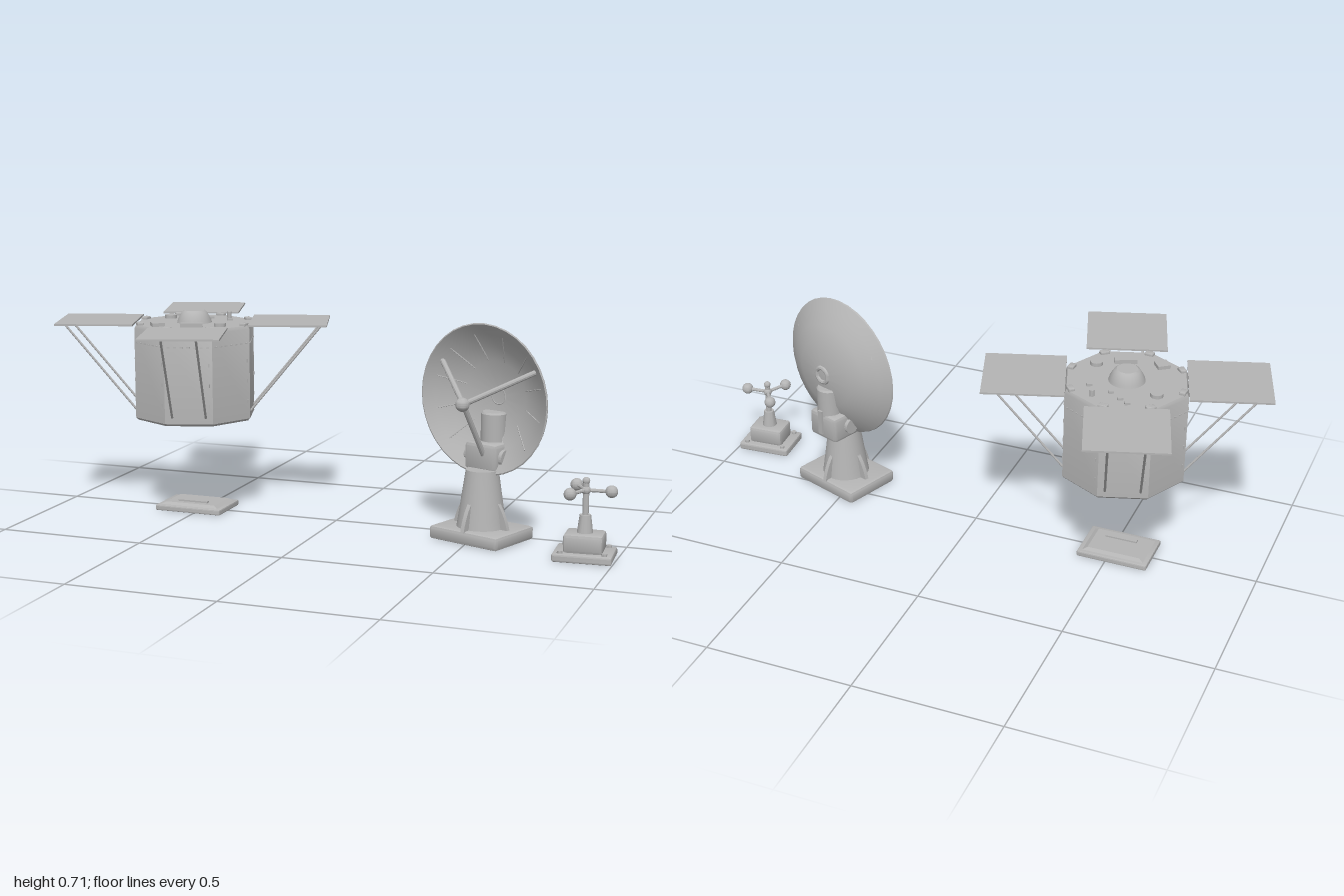
import * as THREE from 'three';
import { toCreasedNormals } from 'three/addons/utils/BufferGeometryUtils.js';
import { RoundedBoxGeometry } from 'three/addons/geometries/RoundedBoxGeometry.js';

const grey = new THREE.MeshStandardMaterial({ color: 0xb4b4b4 });
grey.name = 'grey';

function add(parent, name, geo, x = 0, y = 0, z = 0, ry = 0) {
  const m = new THREE.Mesh(toCreasedNormals(geo, 0.5), grey);
  m.name = name;
  m.position.set(x, y, z);
  m.rotation.y = ry;
  parent.add(m);
  return m;
}
function group(parent, name, x = 0, y = 0, z = 0, ry = 0) {
  const g = new THREE.Group();
  g.name = name;
  g.position.set(x, y, z);
  g.rotation.y = ry;
  parent.add(g);
  return g;
}
const box = (w, h, d) => new THREE.BoxGeometry(w, h, d);
const chamfer = (w, h, d, r) => new RoundedBoxGeometry(w, h, d, 1, r);
const cyl = (top, bottom, h, n = 20) => new THREE.CylinderGeometry(top, bottom, h, n);
const ball = (r) => new THREE.SphereGeometry(r, 18, 12);
const lathe = (pts, n) => new THREE.LatheGeometry(pts.map(p => new THREE.Vector2(...p)), n);

// Round rod between two points
function rod(parent, name, a, b, r, n = 8) {
  const p = new THREE.Vector3(...a), q = new THREE.Vector3(...b);
  const m = add(parent, name, cyl(r, r, p.distanceTo(q), n));
  m.position.copy(p).add(q).multiplyScalar(0.5);
  m.quaternion.setFromUnitVectors(new THREE.Vector3(0, 1, 0), q.sub(p).normalize());
  return m;
}

function buildSatellite(root) {
  const sat = group(root, 'satellite', -0.522, 0, 0, Math.PI / 10);

  // Eight-sided body with softened ends, faces on the group's axes
  const body = lathe([[0, 0.33], [0.205, 0.33], [0.213, 0.338], [0.213, 0.648], [0.207, 0.659], [0, 0.659]], 8);
  add(sat, 'body', body.rotateY(Math.PI / 8));

  for (let i = 0; i < 8; i++) {
    const side = group(sat, 'bodySide', 0, 0, 0, i * Math.PI / 4);
    // Row of small rivets and a clip on the upper rim
    for (let k = -3; k <= 3; k++) {
      add(side, 'rivet', box(0.01, 0.004, 0.004), k * 0.022, 0.6, 0.197);
    }
    for (const y of [0.4, 0.47, 0.54]) add(side, 'seamRivet', box(0.004, 0.012, 0.004), 0.07, y, 0.197);
    const corner = group(sat, 'corner', 0, 0, 0, (i + 0.5) * Math.PI / 4);
    add(corner, 'rimClip', chamfer(0.032, 0.014, 0.022, 0.004), 0, 0.661, 0.193);
  }

  // Four thin panels, each on a pair of struts
  for (let i = 0; i < 4; i++) {
    const arm = group(sat, 'panelArm', 0, 0, 0, i * Math.PI / 2);
    add(arm, 'panel', box(0.267, 0.006, 0.267), 0, 0.665, 0.329);
    for (const x of [-0.057, 0.057]) {
      rod(arm, 'strut', [x, 0.663, 0.445], [x, 0.36, 0.196], 0.004);
    }
  }

  // Deck equipment
  const deck = group(root, 'deck', -0.522, 0.659, 0);
  add(deck, 'dome', lathe([[0.06, 0], [0.058, 0.008], [0.05, 0.024], [0.042, 0.037], [0.034, 0.042], [0, 0.042]], 24));
  add(deck, 'roundCap', cyl(0.021, 0.021, 0.012), -0.12, 0.006, -0.065);
  add(deck, 'roundCap', cyl(0.021, 0.021, 0.012), 0.125, 0.006, 0.065);
  add(deck, 'longBox', box(0.075, 0.014, 0.03), 0.042, 0.007, 0.115, 0.4);
  add(deck, 'squareBox', box(0.042, 0.012, 0.042), -0.078, 0.006, 0.13, 0.65);
  add(deck, 'sensorPost', cyl(0.008, 0.008, 0.022, 10), 0.07, 0.011, -0.14);
  for (const [x, z] of [[-0.02, -0.13], [0.02, -0.1], [-0.05, -0.15], [0.1, -0.08]]) {
    add(deck, 'deckStud', box(0.018, 0.008, 0.012), x, 0.004, z, 0.5);
  }
}

function buildPlate(root) {
  const plate = group(root, 'groundPlate', -0.522, 0, 0);
  add(plate, 'plateBase', chamfer(0.245, 0.02, 0.17, 0.005), 0, 0.01, 0);
  // Sloped upper step
  const step = cyl(Math.SQRT1_2 * 0.85, Math.SQRT1_2, 0.009, 4).rotateY(Math.PI / 4);
  add(plate, 'plateStep', step.scale(0.215, 1, 0.14), 0, 0.024, 0);
  add(plate, 'plateBar', box(0.11, 0.006, 0.016), 0, 0.031, 0.03);
}

function buildDish(root) {
  const g = group(root, 'dishAntenna', 0.53, 0, 0.06, -0.35);

  // Base, tower and gussets
  add(g, 'base', chamfer(0.27, 0.045, 0.215, 0.01), 0, 0.0225, 0);
  add(g, 'tower', lathe([[0, 0.04], [0.083, 0.04], [0.078, 0.07], [0.054, 0.235], [0, 0.235]], 24));
  const fin = new THREE.Shape();
  fin.moveTo(0.05, 0.04);
  fin.lineTo(0.108, 0.04);
  fin.quadraticCurveTo(0.095, 0.1, 0.06, 0.14);
  fin.lineTo(0.05, 0.14);
  const finGeo = new THREE.ExtrudeGeometry(fin, { depth: 0.014, bevelEnabled: false, curveSegments: 5 }).translate(0, 0, -0.007);
  for (let i = 0; i < 4; i++) add(g, 'gusset', finGeo, 0, 0, 0, i * Math.PI / 2);

  // Tilt housing, pivots and rear mast
  add(g, 'housing', chamfer(0.125, 0.095, 0.115, 0.012), -0.01, 0.272, -0.055);
  add(g, 'pivot', cyl(0.028, 0.028, 0.15, 24).rotateZ(Math.PI / 2), -0.01, 0.272, -0.04);
  add(g, 'mast', lathe([[0, 0.29], [0.043, 0.29], [0.043, 0.41], [0.038, 0.416], [0, 0.416]], 20), -0.006, 0, -0.07);
  add(g, 'mastRib', box(0.018, 0.09, 0.02), -0.006, 0.29, -0.11);

  // Bowl: thin shell opening toward local +z
  const bowl = group(g, 'bowl', 0, 0.465, 0);
  const profile = [[0, -0.092], [0.035, -0.092], [0.12, -0.078], [0.17, -0.056], [0.215, -0.028],
    [0.248, -0.003], [0.25, 0.002], [0.246, 0.004], [0.213, -0.021], [0.168, -0.049], [0.118, -0.071],
    [0.035, -0.085], [0, -0.085]];
  add(bowl, 'reflector', lathe(profile, 36).rotateX(Math.PI / 2));
  add(bowl, 'hubRing', new THREE.TorusGeometry(0.027, 0.008, 8, 24), 0, 0, -0.092);
  for (let i = 0; i < 12; i++) {
    const a = (i + 0.5) * Math.PI / 6, c = Math.cos(a), s = Math.sin(a);
    rod(bowl, 'radialSeam', [0.12 * c, 0.12 * s, -0.071], [0.213 * c, 0.213 * s, -0.021], 0.002, 5);
  }

  // Tripod and feed
  add(bowl, 'feed', ball(0.023), 0, 0, 0.115);
  for (const deg of [30, 150, 270]) {
    const a = deg * Math.PI / 180;
    rod(bowl, 'feedStrut', [0, 0, 0.11], [0.215 * Math.cos(a), 0.215 * Math.sin(a), -0.025], 0.009, 10);
  }
}

function buildWeatherStation(root) {
  const g = group(root, 'weatherStation', 0.9, 0, 0.178, 0.07);
  add(g, 'base', chamfer(0.19, 0.027, 0.145, 0.007), 0, 0.0135, 0);
  add(g, 'body', chamfer(0.125, 0.062, 0.098, 0.01), 0, 0.055, 0);
  for (const x of [-0.07, 0.07]) for (const z of [-0.055, 0.055]) {
    add(g, 'footBolt', cyl(0.009, 0.009, 0.012, 8), x, 0.029, z);
  }
  add(g, 'collar', cyl(0.018, 0.026, 0.06), 0, 0.113, 0);
  add(g, 'pole', cyl(0.01, 0.01, 0.12, 14), 0, 0.19, 0);
  add(g, 'hub', ball(0.015), 0, 0.222, 0);
  add(g, 'topKnob', ball(0.012), 0, 0.252, 0);
  // Three arms with round cups
  for (let i = 0; i < 3; i++) {
    const a = i * Math.PI * 2 / 3, x = 0.08 * Math.cos(a), z = 0.08 * Math.sin(a);
    rod(g, 'cupArm', [0, 0.222, 0], [x, 0.222, z], 0.006);
    add(g, 'cup', ball(0.02), x, 0.222, z);
  }
}

export function createModel() {
  const root = new THREE.Group();
  root.name = 'spaceEquipment';
  buildSatellite(root);
  buildPlate(root);
  buildDish(root);
  buildWeatherStation(root);
  return root;
}
